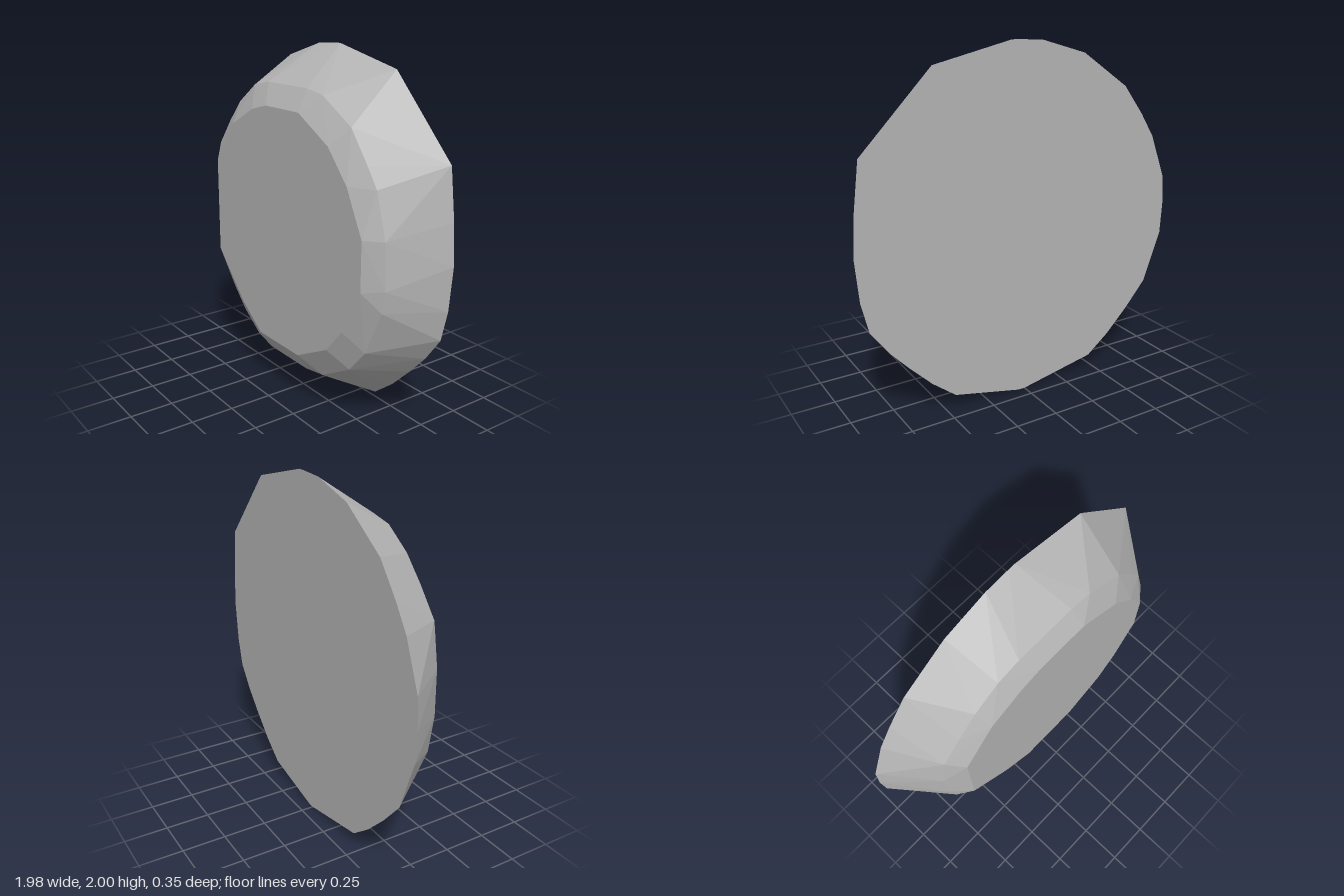
import * as THREE from 'three';
import { ConvexGeometry } from 'three/addons/geometries/ConvexGeometry.js';

// Outlines as [x, y] pairs, clockwise from the top
const backRim = [
  [0.09, 2], [0.54, 1.9], [0.94, 1.49], [0.975, 1.22], [0.99, 1], [0.97, 0.76], [0.93, 0.59],
  [0.83, 0.45], [0.72, 0.33], [0.59, 0.2], [0.45, 0.09], [0.04, 0], [0, 0], [-0.46, 0.09],
  [-0.6, 0.2], [-0.74, 0.34], [-0.87, 0.49], [-0.98, 0.79], [-0.99, 0.97], [-0.98, 1.14],
  [-0.88, 1.4], [-0.79, 1.54], [-0.66, 1.71], [-0.37, 1.91], [-0.1, 1.99], [0.05, 2],
];
const shoulder = [
  [0.18, 1.79], [0.31, 1.77], [0.54, 1.64], [0.67, 1.47], [0.74, 1.37], [0.81, 1.13],
  [0.82, 0.88], [0.8, 0.76], [0.68, 0.5], [0.56, 0.36], [0.33, 0.23], [0.17, 0.205],
  [-0.18, 0.205], [-0.32, 0.24], [-0.48, 0.35], [-0.6, 0.47], [-0.72, 0.65], [-0.76, 0.87],
  [-0.76, 1.13], [-0.72, 1.37], [-0.6, 1.52], [-0.48, 1.65], [-0.32, 1.76], [-0.18, 1.79],
];
const frontFace = [
  [0.2, 1.675], [0.45, 1.54], [0.6, 1.37], [0.72, 1.13], [0.72, 0.86], [0.58, 0.6],
  [0.45, 0.45], [0.19, 0.315], [-0.19, 0.315], [-0.38, 0.45], [-0.64, 0.72], [-0.64, 1.28],
  [-0.45, 1.53], [-0.24, 1.64], [-0.1, 1.675],
];

const ring = (outline, z) => outline.map(([x, y]) => new THREE.Vector3(x, y, z));

export function createModel() {
  const model = new THREE.Group();
  model.name = 'facetedDisc';
  const stone = new THREE.MeshStandardMaterial({ color: 0xb4b4b4 });
  stone.name = 'stone grey';
  stone.flatShading = true;

  // Faceted convex body: flat back, sloping sides, bevelled shoulder, flat front
  const points = [...ring(backRim, -0.177), ...ring(shoulder, 0.105), ...ring(frontFace, 0.177)];
  const body = new THREE.Mesh(new ConvexGeometry(points), stone);
  body.name = 'stoneBody';
  model.add(body);
  return model;
}
